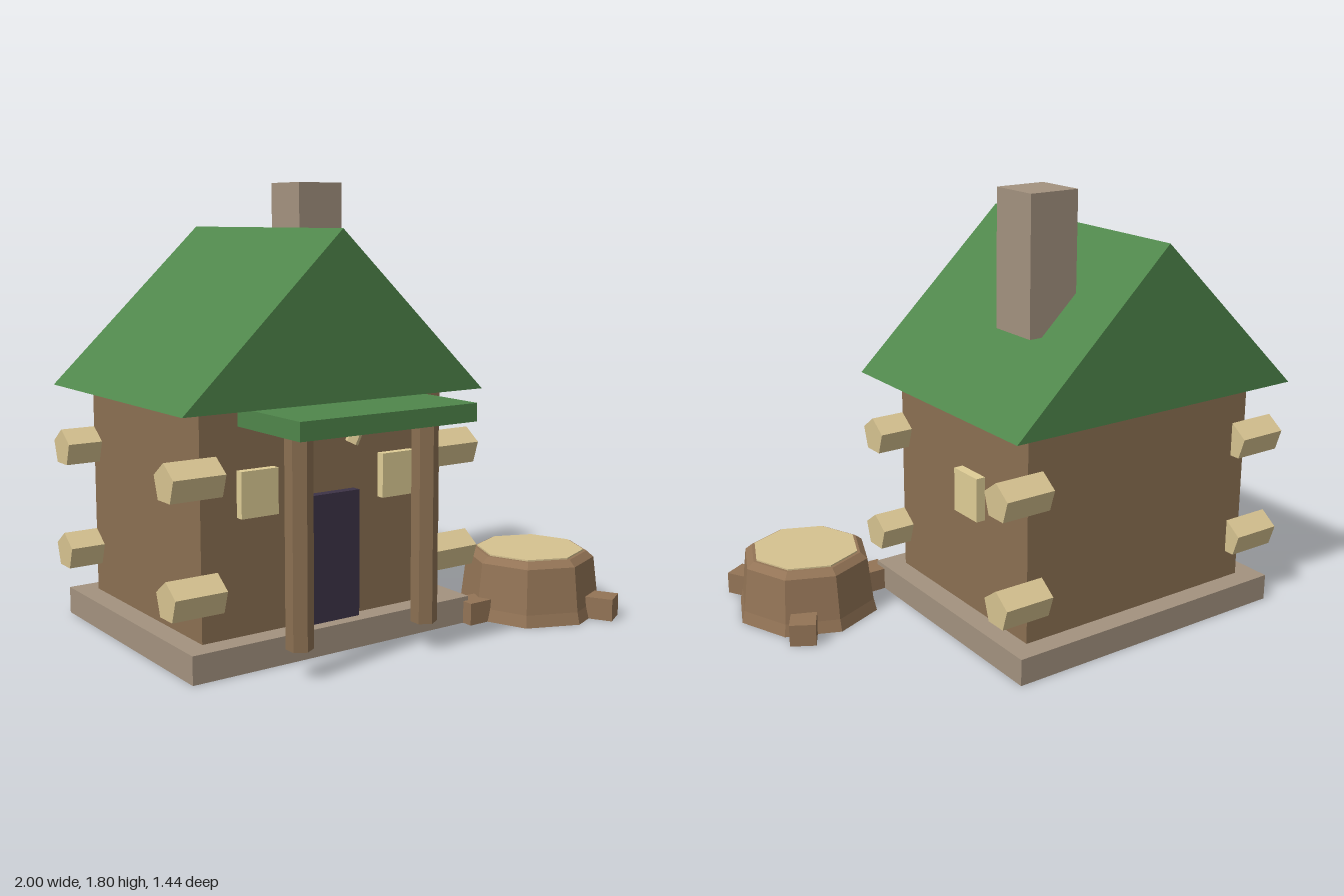
import * as THREE from 'three';

const mat = (color) => new THREE.MeshStandardMaterial({ color, flatShading: true });

export function createModel() {
  const model = new THREE.Group();
  const wood = mat(0x8b7052), bark = mat(0x937456), stone = mat(0xa3927f), green = mat(0x4f864b);
  const log = mat(0xd6c290), glass = mat(0xdfcd96), dark = mat(0x3d3347);

  const add = (name, geometry, material, parent = model) => {
    const mesh = new THREE.Mesh(geometry, material);
    mesh.name = name;
    parent.add(mesh);
    return mesh;
  };
  // Box given by its extents along each axis
  const box = (name, material, [x0, x1], [y0, y1], [z0, z1], parent = model) => {
    const mesh = add(name, new THREE.BoxGeometry(x1 - x0, y1 - y0, z1 - z0), material, parent);
    mesh.position.set((x0 + x1) / 2, (y0 + y1) / 2, (z0 + z1) / 2);
    return mesh;
  };

  const cx = -0.3; // centre line of the house

  // House body
  box('foundation', stone, [-0.945, 0.345], [0, 0.11], [-0.705, 0.37]);
  box('walls', wood, [-0.855, 0.255], [0.11, 0.975], [-0.615, 0.28]);
  box('door', dark, [-0.425, -0.175], [0.11, 0.615], [0.26, 0.32]);
  box('sideWindow', glass, [0.24, 0.295], [0.525, 0.705], [-0.335, -0.178]);

  // Gabled roof
  const gable = new THREE.Shape([[-0.98, 0.975], [0.385, 0.975], [cx, 1.62]].map((p) => new THREE.Vector2(...p)));
  add('roof', new THREE.ExtrudeGeometry(gable, { depth: 1.115, bevelEnabled: false }), green).position.z = -0.725;
  box('chimney', stone, [-0.08, 0.135], [1.262, 1.805], [-0.455, -0.24]);
  box('porchRoof', green, [-0.695, 0.095], [0.905, 0.975], [0.27, 0.695]);

  // Mirrored porch parts
  for (const s of [-1, 1]) {
    const post = add('porchPost', new THREE.CylinderGeometry(0.052, 0.052, 0.8, 6), wood);
    post.position.set(cx + s * 0.287, 0.51, 0.522);

    const wx = cx + s * 0.322;
    box('frontWindow', glass, [wx - 0.08, wx + 0.08], [0.565, 0.742], [0.26, 0.315]);

    // Slanted brace below the porch roof
    const foot = new THREE.Vector3(cx + s * 0.106, 0.797, 0.292);
    const head = new THREE.Vector3(cx + s * 0.16, 0.92, 0.315);
    const axis = head.clone().sub(foot);
    const brace = add('porchBrace', new THREE.CylinderGeometry(0.021, 0.031, axis.length(), 5), log);
    brace.position.copy(foot).add(head).multiplyScalar(0.5);
    brace.quaternion.setFromUnitVectors(new THREE.Vector3(0, 1, 0), axis.normalize());
  }

  // Five-sided log ends at the corners, point upward
  const logGeometry = new THREE.CylinderGeometry(0.078, 0.078, 0.214, 5);
  logGeometry.rotateX(-Math.PI / 2).rotateY(Math.PI / 2);
  for (const x of [-0.893, 0.293])
    for (const y of [0.293, 0.725])
      for (const z of [-0.615, 0.28]) add('cornerLog', logGeometry, log).position.set(x, y, z);

  // Tree stump with three roots
  const stump = new THREE.Group();
  stump.name = 'stump';
  stump.position.set(0.692, 0, 0.365);
  model.add(stump);
  const profile = [[0, 0], [0.303, 0], [0.29, 0.05], [0.268, 0.235], [0.238, 0.26], [0, 0.26]];
  add('trunk', new THREE.LatheGeometry(profile.map((p) => new THREE.Vector2(...p)), 8), bark, stump);
  add('cutTop', new THREE.CylinderGeometry(0.225, 0.225, 0.02, 8), log, stump).position.y = 0.256;
  for (let i = 0; i < 3; i++) {
    const root = new THREE.Group();
    root.name = 'root';
    root.rotation.y = Math.PI / 3 + (i * 2 * Math.PI) / 3;
    box('rootBlock', bark, [0.2, 0.373], [0, 0.092], [-0.053, 0.053], root);
    stump.add(root);
  }
  return model;
}
